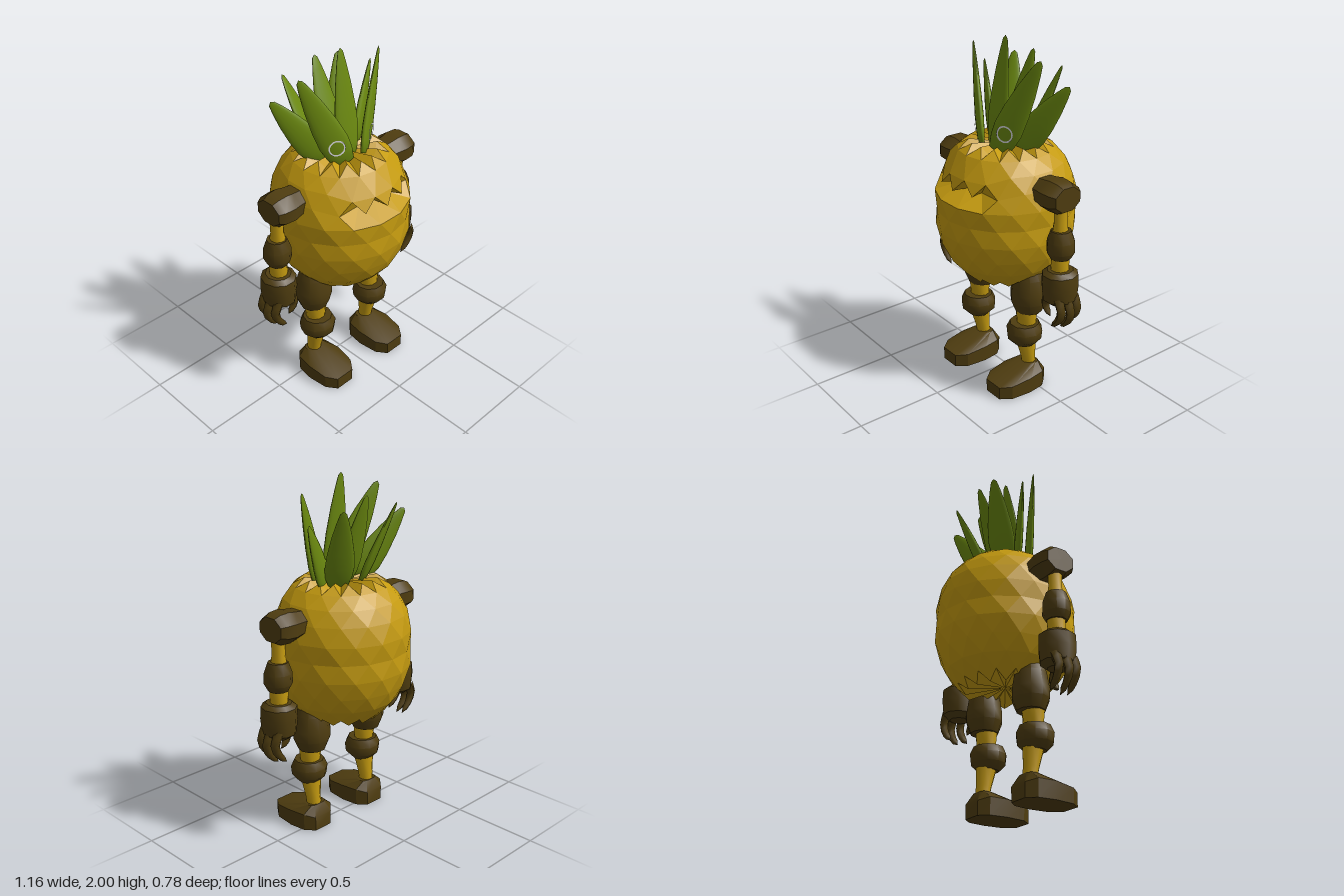
import * as THREE from 'three';
import { toCreasedNormals } from 'three/addons/utils/BufferGeometryUtils.js';

const material = (name, color) => Object.assign(new THREE.MeshStandardMaterial({ color }), { name });
const V = (x, y, z) => new THREE.Vector3(x, y, z);

function mesh(name, geometry, mat, parent) {
  const m = new THREE.Mesh(geometry, mat);
  m.name = name;
  parent.add(m);
  return m;
}

// Flat-shaded geometry from a list of corner points, three per face
function facets(points) {
  const g = new THREE.BufferGeometry().setFromPoints(points);
  g.computeVertexNormals();
  return g;
}

// Closed low-poly turned shape, profile of [radius, height] from bottom to top
function turned(profile, sides = 10) {
  const pts = [[0, profile[0][1]], ...profile, [0, profile.at(-1)[1]]];
  const g = new THREE.LatheGeometry(pts.map(([r, y]) => new THREE.Vector2(r, y)), sides, Math.PI / sides);
  return toCreasedNormals(g, 0.65);
}

// Fruit body: staggered rings forming diamond facets, with a notched mouth
function bodyGeometry() {
  const N = 16, TOP = 10;
  const rings = [[0.64, 0.215], [0.69, 0.265], [0.76, 0.325], [0.85, 0.367], [0.95, 0.392], [1.05, 0.388],
    [1.15, 0.392], [1.25, 0.367], [1.33, 0.325], [1.395, 0.265], [1.44, 0.2]];
  const at = (step, y, r) => {
    const a = step / N * Math.PI * 2;
    return V(r * Math.sin(a), y, r * Math.cos(a));
  };
  const P = (k, j, inner = false) => {
    const s = ((j + N / 2 + N) % N) - N / 2;
    let [y, r] = rings[k];
    if (k === 7 && Math.abs(s) <= 2) [y, r] = inner && Math.abs(s) < 2 ? [1.21, 0.26] : [1.22, 0.36];
    if (k === 8 && s >= -2 && s <= 1) [y, r] = [1.29, 0.335];
    return at(j + (k % 2 ? 0 : 0.5), y, r);
  };
  const out = [], tri = (...p) => out.push(...p);
  for (let k = 0; k < TOP; k++) {
    const o = k % 2 ? 0 : 1;
    for (let j = -N / 2; j < N / 2; j++) {
      const a = P(k, j), b = P(k, j + 1);
      const u = P(k + 1, j + o, k === 6), w = P(k + 1, j + o - 1, k === 6);
      // upward facets
      if (k === 7 && j >= -2 && j <= 1) {
        const c = P(7, j, true), d = P(7, j + 1, true);
        tri(u, a, c, u, c, d, u, d, b);
      } else if (k === 0) {
        const m = at(j + 1, 0.685, 0.18), c = V(0, 0.68, 0);
        tri(a, m, u, m, b, u, c, m, a, c, b, m);
      } else tri(a, b, u);
      // downward facets
      if (k === TOP - 1) {
        const m = at(j, 1.405, 0.19), c = V(0, 1.415, 0);
        tri(w, a, m, m, a, u, c, w, m, c, m, u);
      } else tri(w, a, u);
    }
  }
  return facets(out);
}

// Foot: rounded outline lofted up to a narrow ankle
function footGeometry() {
  const half = [[0.06, 0.26], [0.105, 0.2], [0.118, 0.08], [0.105, -0.02], [0.06, -0.07]];
  const outline = [...half, ...half.map(([x, z]) => [-x, z]).reverse()];
  const levels = [
    outline.map(([x, z]) => V(x * 0.97, 0, z)),
    outline.map(([x, z]) => V(x, z > 0 ? 0.105 - 0.115 * z : 0.105 + 0.35 * z, z)),
    outline.map(([x, z]) => V(x * 0.5, 0.14, (z - 0.095) * 0.24)),
  ];
  const out = [], n = outline.length;
  for (let i = 0; i < n; i++) {
    const j = (i + 1) % n;
    for (let k = 0; k < 2; k++) {
      const a = levels[k][i], b = levels[k][j], c = levels[k + 1][j], d = levels[k + 1][i];
      out.push(a, b, c, a, c, d);
    }
    out.push(V(0, 0, 0.09), levels[0][j], levels[0][i], V(0, 0.14, 0), levels[2][i], levels[2][j]);
  }
  return toCreasedNormals(facets(out), 0.5);
}

// Tapered curved finger
function fingerGeometry(points, radius) {
  const curve = new THREE.CatmullRomCurve3(points), steps = 6, sides = 6;
  const g = new THREE.TubeGeometry(curve, steps, radius, sides);
  const p = g.attributes.position, v = V(0, 0, 0);
  for (let i = 0; i < p.count; i++) {
    const t = Math.floor(i / (sides + 1)) / steps, c = curve.getPointAt(t);
    v.fromBufferAttribute(p, i).sub(c).multiplyScalar(t === 1 ? 0.02 : 1 - 0.55 * t * t).add(c);
    p.setXYZ(i, v.x, v.y, v.z);
  }
  g.computeVertexNormals();
  return g;
}

export function createModel() {
  const model = new THREE.Group();
  model.name = 'pineappleFigure';
  const yellow = material('fruitYellow', 0xc59b10);
  const brown = material('barkBrown', 0x4f3d10);
  const green = material('leafGreen', 0x6c8a10);
  const white = material('eyeWhite', 0xe0e0e4);

  mesh('body', bodyGeometry(), yellow, model);

  // Leaf crown; z of each leaf group is the blade's normal
  const blade = new THREE.LatheGeometry([[0, 0], [0.055, 0], [0.074, 0.12], [0.082, 0.25], [0.074, 0.45],
    [0.055, 0.68], [0.034, 0.86], [0.018, 0.97], [0, 1]].map(([r, y]) => new THREE.Vector2(r, y)), 16);
  const addLeaf = (name, base, tip, normal, eye) => {
    const dir = tip.clone().sub(base), length = dir.length();
    dir.normalize();
    const side = dir.clone().cross(normal).normalize();
    const leaf = new THREE.Group();
    leaf.name = name;
    leaf.position.copy(base);
    leaf.quaternion.setFromRotationMatrix(new THREE.Matrix4().makeBasis(side, dir, side.clone().cross(dir)));
    model.add(leaf);
    mesh('blade', blade, green, leaf).scale.set(1, length, 0.27);
    if (eye) mesh('eyeRing', new THREE.RingGeometry(0.038, 0.047, 28), white, leaf).position.set(0, 0.115, 0.0235);
  };
  addLeaf('frontCentreLeaf', V(0, 1.41, 0.07), V(0, 2, 0), V(0, 0, 1));
  addLeaf('backCentreLeaf', V(0, 1.41, -0.03), V(0, 1.9, -0.19), V(0, 0, 1));
  for (const s of [1, -1]) {
    const label = s > 0 ? 'left' : 'right';
    addLeaf(label + 'EyeLeaf', V(s * 0.072, 1.41, 0.11), V(s * 0.285, 1.92, 0), V(s * 0.48, 0, 0.87), true);
    addLeaf(label + 'SideLeaf', V(s * 0.12, 1.41, 0.0), V(s * 0.36, 1.78, -0.13), V(s * 0.48, 0, 0.87));
    addLeaf(label + 'BackLeaf', V(s * 0.09, 1.41, -0.07), V(s * 0.2, 1.845, -0.22), V(-s * 0.5, 0, 0.85));
  }

  // Limb parts: profile, colour, x, z, depth scale
  const limbParts = [
    ['upperArm', [[0.045, 1.03], [0.035, 1.1], [0.037, 1.2]], yellow, 0.462, 0, 1.1],
    ['elbow', [[0.056, 0.9], [0.078, 0.94], [0.076, 1.0], [0.055, 1.06]], brown, 0.468, 0, 1],
    ['forearm', [[0.05, 0.8], [0.05, 0.92]], yellow, 0.465, 0, 1],
    ['wristCuff', [[0.055, 0.63], [0.092, 0.66], [0.1, 0.74], [0.097, 0.81], [0.07, 0.832]], brown, 0.468, 0, 1.04],
    ['thigh', [[0.08, 0.48], [0.107, 0.545], [0.107, 0.6], [0.092, 0.69], [0.06, 0.76]], brown, 0.22, 0.01, 0.95],
    ['kneeRod', [[0.058, 0.39], [0.07, 0.51]], yellow, 0.22, 0.025, 0.88],
    ['knee', [[0.06, 0.27], [0.1, 0.31], [0.106, 0.36], [0.085, 0.405]], brown, 0.218, 0.037, 0.98],
  ];
  const finger = fingerGeometry([V(0.53, 0.67, 0), V(0.56, 0.6, 0), V(0.535, 0.54, 0), V(0.48, 0.485, 0)], 0.027);
  const thumb = fingerGeometry([V(0.415, 0.67, 0), V(0.388, 0.59, 0), V(0.432, 0.535, 0)], 0.027);
  const foot = footGeometry();
  for (const s of [1, -1]) {
    const label = s > 0 ? 'left' : 'right';
    for (const [name, profile, mat, x, z, depth] of limbParts) {
      const part = mesh(label + '-' + name, turned(profile), mat, model);
      part.position.set(s * x, 0, z);
      part.scale.z = depth;
    }
    // Shoulder pad turned around the x axis
    const pad = mesh(label + '-shoulder', turned([[0.085, 0.28], [0.1, 0.38], [0.11, 0.42], [0.105, 0.48], [0.085, 0.515]], 8), brown, model);
    pad.rotation.z = -s * Math.PI / 2;
    pad.position.y = 1.245;
    pad.scale.set(0.83, 1, 1.06);
    // Shin leaning back towards the ankle
    const shin = mesh(label + '-shin', turned([[0.04, 0], [0.043, 0.06], [0.06, 0.18]]), yellow, model);
    shin.position.set(s * 0.217, 0.12, 0);
    shin.rotation.x = 0.14;
    mesh(label + '-foot', foot, brown, model).position.set(s * 0.213, 0, 0);
    // Curled fingers and thumb; a half turn mirrors their flat curves
    const hand = new THREE.Group();
    hand.name = label + '-hand';
    hand.rotation.y = s > 0 ? 0 : Math.PI;
    model.add(hand);
    for (const z of [-0.055, 0, 0.055]) mesh('finger', finger, brown, hand).position.set(z ? -0.012 : 0, z ? 0.015 : 0, z);
    mesh('thumb', thumb, brown, hand).position.z = s * 0.03;
  }
  return model;
}
